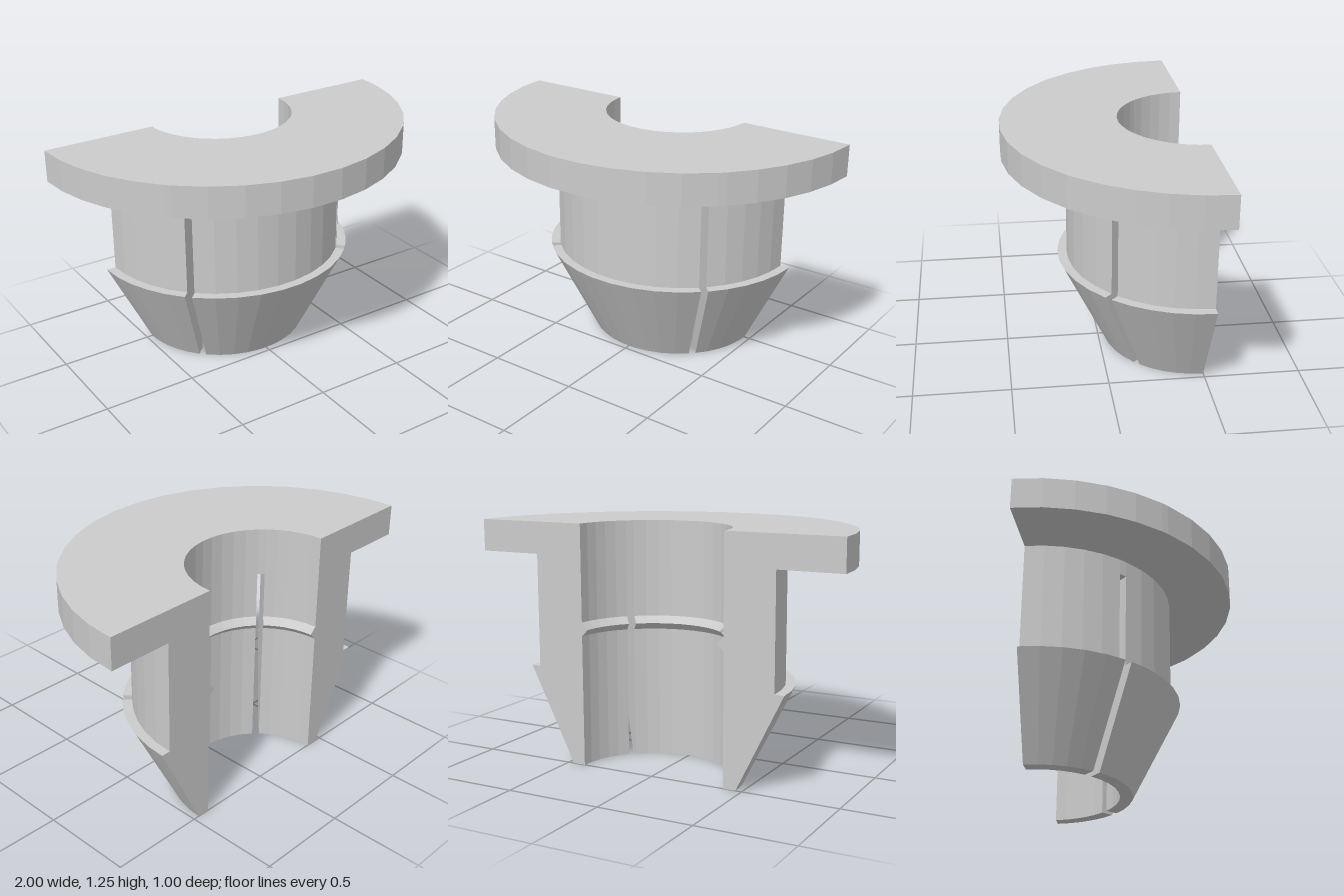
import * as THREE from 'three';

const AXIS_Z = -0.5;      // the bushing is cut in half along its axis
const SLOT_HALF = 0.019;  // half width of the parallel-sided slots
const SLOT_TOP = 1.0;

// Cross-section as [radius, height], counterclockwise
const profile = [
  [0.4, 0], [0.467, 0], [0.715, 0.5], [0.665, 0.5],             // tapered barb
  [0.665, SLOT_TOP], [0.665, 1.085],                            // sleeve
  [1, 1.085], [1, 1.25], [0.4, 1.25],                           // flange
  [0.4, SLOT_TOP], [0.4, 0.75], [0.365, 0.715], [0.4, 0.68],    // bore with snap ridge
];
const lower = profile.filter(([, y]) => y <= SLOT_TOP);
const upper = profile.filter(([, y]) => y >= SLOT_TOP);

// Sweeps a section from angle a0 to a1. Each end is shifted sideways by d0 / d1
// so that slot walls stay parallel. cap0 / cap1 are the sections closing the ends.
function sweep(section, a0, a1, d0, d1, segments, cap0, cap1) {
  const positions = [];
  const point = ([r, y], t) => {
    const s = a0 + Math.asin(d0 / r), e = a1 + Math.asin(d1 / r);
    const a = s + (e - s) * t;
    return [r * Math.cos(a), y, AXIS_Z + r * Math.sin(a)];
  };
  for (let i = 0; i < segments; i++) {
    const t = i / segments, u = (i + 1) / segments;
    section.forEach((p, k) => {
      const q = section[(k + 1) % section.length];
      positions.push(...point(p, t), ...point(q, t), ...point(q, u));
      positions.push(...point(p, t), ...point(q, u), ...point(p, u));
    });
  }
  const addCap = (cap, t) => {
    const contour = cap.map(([r, y]) => new THREE.Vector2(r, y));
    for (const [a, b, c] of THREE.ShapeUtils.triangulateShape(contour, [])) {
      for (const k of t === 0 ? [a, c, b] : [a, b, c]) positions.push(...point(cap[k], t));
    }
  };
  if (cap0) addCap(cap0, 0);
  if (cap1) addCap(cap1, 1);
  const geometry = new THREE.BufferGeometry();
  geometry.setAttribute('position', new THREE.Float32BufferAttribute(positions, 3));
  geometry.computeVertexNormals();
  return geometry;
}

export function createModel() {
  const group = new THREE.Group();
  group.name = 'halfBushing';
  const material = new THREE.MeshStandardMaterial({ color: 0xcccccc, flatShading: true });
  const add = (name, geometry) => {
    const mesh = new THREE.Mesh(geometry, material);
    mesh.name = name;
    group.add(mesh);
  };
  const h = SLOT_HALF, q = Math.PI / 4;

  // Three barbed fingers, each with its share of the flange
  add('leftFinger', sweep(profile, 0, q, 0, -h, 5, profile, lower));
  add('frontFinger', sweep(profile, q, 3 * q, h, -h, 9, lower, lower));
  add('rightFinger', sweep(profile, 3 * q, 4 * q, h, 0, 5, lower, profile));

  // Flange bridges that close the tops of the slots
  add('leftBridge', sweep(upper, q, q, -h, h, 1));
  add('rightBridge', sweep(upper, 3 * q, 3 * q, -h, h, 1));

  return group;
}
